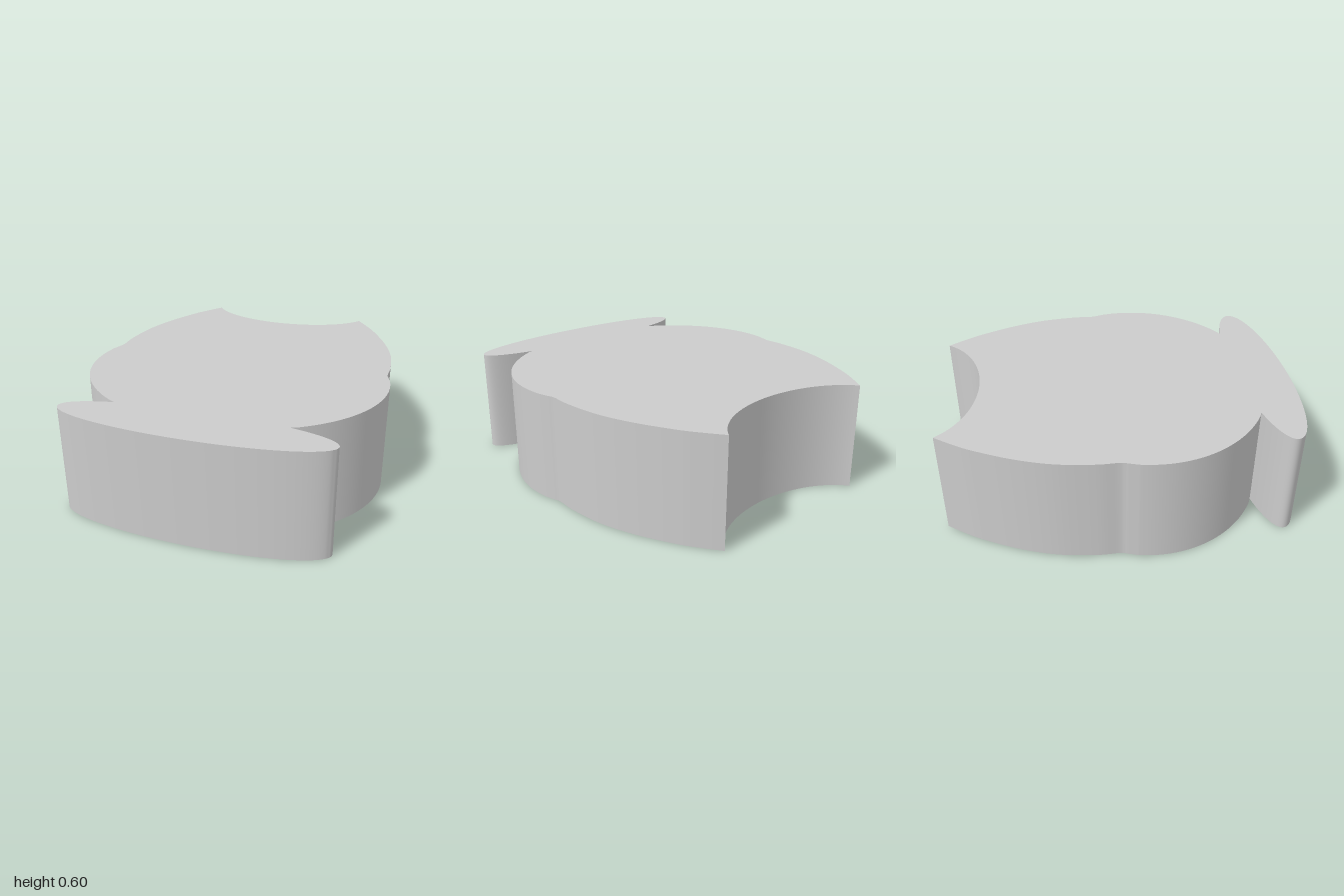
import * as THREE from 'three';
import { toCreasedNormals } from 'three/addons/utils/BufferGeometryUtils.js';

const HEIGHT = 0.6;

// Points on an ellipse centred at (0, cz), between two angles
function arc(cz, rx, rz, from, to, steps) {
  return Array.from({ length: steps + 1 }, (_, i) => {
    const a = from + (to - from) * i / steps;
    return new THREE.Vector2(rx * Math.cos(a), cz + rz * Math.sin(a));
  });
}

// Half of the plan outline as (x, z), from front centre to back centre
function halfOutline() {
  // Flat oval base, ending in the notch under the body
  const base = arc(0.845, 0.73, 0.155, Math.PI / 2, -0.872, 40);
  // Round lower body
  const belly = arc(0.13, 0.86, 0.717, 0.992, -0.15, 24);
  // Shallow waist, then shoulder tapering to the pointed tip
  const shoulder = new THREE.SplineCurve([
    [0.848, 0.01], [0.834, -0.035], [0.823, -0.08], [0.824, -0.2], [0.798, -0.4],
    [0.734, -0.6], [0.638, -0.8], [0.576, -0.9], [0.505, -1],
  ].map(([x, z]) => new THREE.Vector2(x, z))).getPoints(48);
  // Concave scoop between the tips
  const scoop = arc(-1.14, 0.551, 0.35, 0.4115, Math.PI / 2, 24);
  return [...base, ...belly.slice(1), ...shoulder, ...scoop.slice(1)];
}

export function createModel() {
  const group = new THREE.Group();
  const half = halfOutline();
  const mirrored = half.slice(1, -1).reverse().map(p => new THREE.Vector2(-p.x, p.y));
  const outline = [...half, ...mirrored].map(p => new THREE.Vector2(p.x, -p.y));

  // Upright slab with the outline as its plan
  let geometry = new THREE.ExtrudeGeometry(new THREE.Shape(outline), {
    depth: HEIGHT, bevelEnabled: false,
  });
  geometry.rotateX(-Math.PI / 2);
  geometry = toCreasedNormals(geometry, 0.6);

  const body = new THREE.Mesh(geometry, new THREE.MeshStandardMaterial({ color: 0xcccccc }));
  body.name = 'body';
  group.add(body);
  return group;
}
